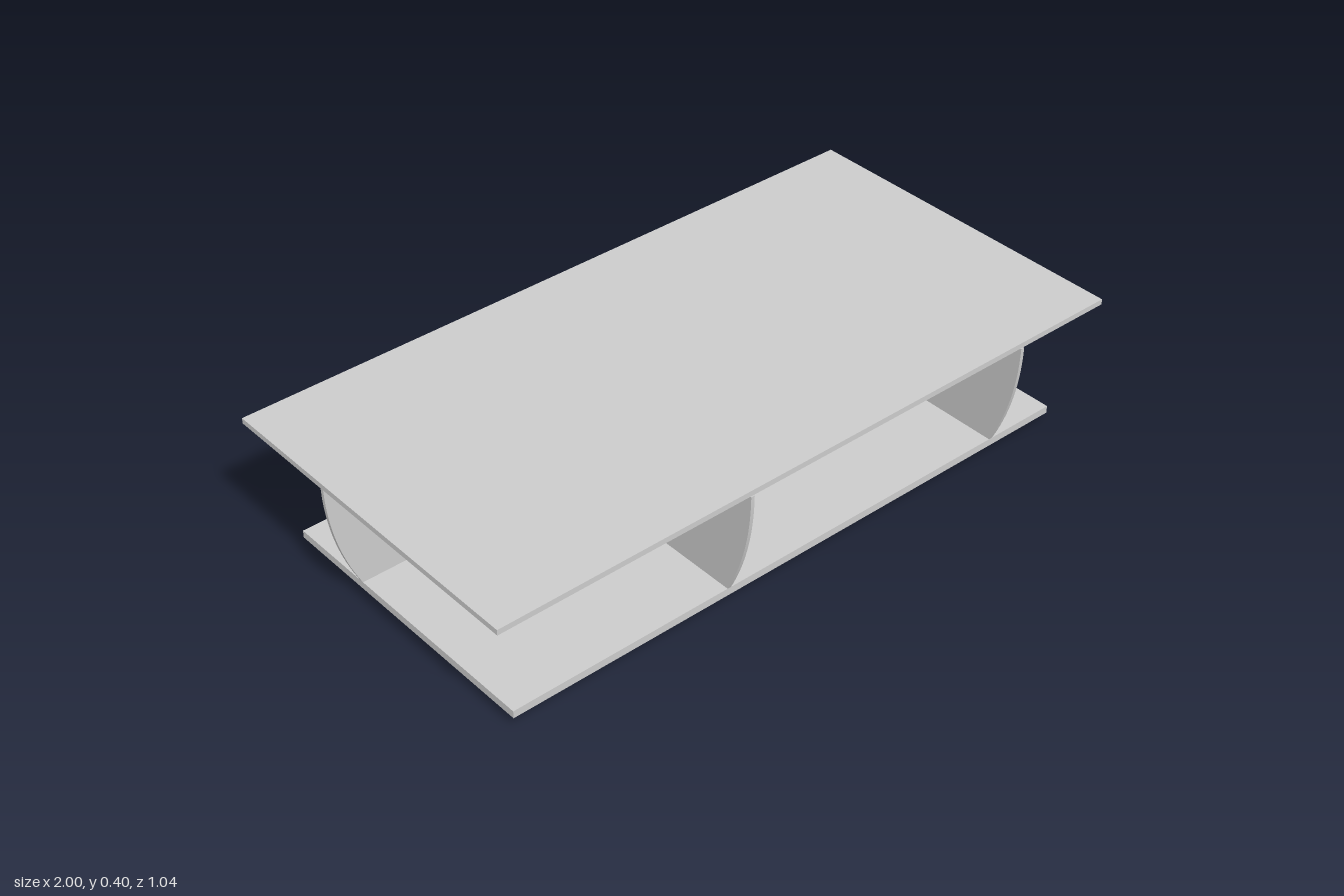
import * as THREE from 'three';

const material = new THREE.MeshStandardMaterial({ color: 0xcccccc });
const BASE_TOP = 0.051, TOP_UNDERSIDE = 0.386, THICK = 0.011;

// Box given by its lower and upper corners
function slab(name, [x0, y0, z0], [x1, y1, z1]) {
  const geo = new THREE.BoxGeometry(x1 - x0, y1 - y0, z1 - z0);
  geo.translate((x0 + x1) / 2, (y0 + y1) / 2, (z0 + z1) / 2);
  const mesh = new THREE.Mesh(geo, material);
  mesh.name = name;
  return mesh;
}

// Upright panel in the xy plane whose outer edge bows out from foot to head
function curvedPanel(name, inner, foot, head) {
  const shape = new THREE.Shape();
  shape.moveTo(inner, BASE_TOP);
  shape.lineTo(foot, BASE_TOP);
  shape.quadraticCurveTo(head, BASE_TOP + 0.16, head, TOP_UNDERSIDE);
  shape.lineTo(inner, TOP_UNDERSIDE);
  shape.closePath();
  const geo = new THREE.ExtrudeGeometry(shape, { depth: THICK, bevelEnabled: false, curveSegments: 20 });
  geo.translate(0, 0, -THICK / 2);
  const mesh = new THREE.Mesh(geo, material);
  mesh.name = name;
  return mesh;
}

export function createModel() {
  const table = new THREE.Group();
  table.name = 'coffeeTable';

  // Table top
  table.add(slab('tableTop', [-1, TOP_UNDERSIDE, -0.519], [1, 0.402, 0.516]));

  // Base: plate, plinth and a chamfered underside
  table.add(slab('basePlate', [-0.916, 0.04, -0.437], [0.916, BASE_TOP, 0.44]));
  table.add(slab('basePlinth', [-0.916, 0.029, -0.437], [0.916, 0.04, 0.44]));
  const chamfer = slab('baseChamfer', [-0.916, 0.02, -0.437], [0.916, 0.029, 0.44]);
  const pos = chamfer.geometry.attributes.position;
  for (let i = 0; i < pos.count; i++) {
    if (pos.getY(i) > 0.025) continue;
    pos.setX(i, pos.getX(i) - Math.sign(pos.getX(i)) * 0.018);
    pos.setZ(i, pos.getZ(i) - Math.sign(pos.getZ(i)) * 0.018);
  }
  chamfer.geometry.computeVertexNormals();
  table.add(chamfer);

  // Cross panels: two reach the front edge, one reaches the back edge
  for (const [x, side] of [[-0.244, 1], [0.692, 1], [0.302, -1]]) {
    const panel = curvedPanel(side > 0 ? 'frontPanel' : 'backPanel', side > 0 ? -0.002 : 0.002, 0.44, 0.519);
    panel.rotation.y = -side * Math.PI / 2;
    panel.position.x = x;
    table.add(panel);
  }

  // Lengthwise panel reaching the right end
  const endPanel = curvedPanel('endPanel', -0.475, -0.916, -0.998);
  endPanel.position.z = -0.175;
  table.add(endPanel);

  // Feet
  for (const x of [-0.84, 0.84]) {
    for (const z of [-0.36, 0.365]) {
      const foot = new THREE.Mesh(new THREE.CylinderGeometry(0.024, 0.023, 0.02, 32), material);
      foot.name = 'foot';
      foot.position.set(x, 0.01, z);
      table.add(foot);
    }
  }
  return table;
}
